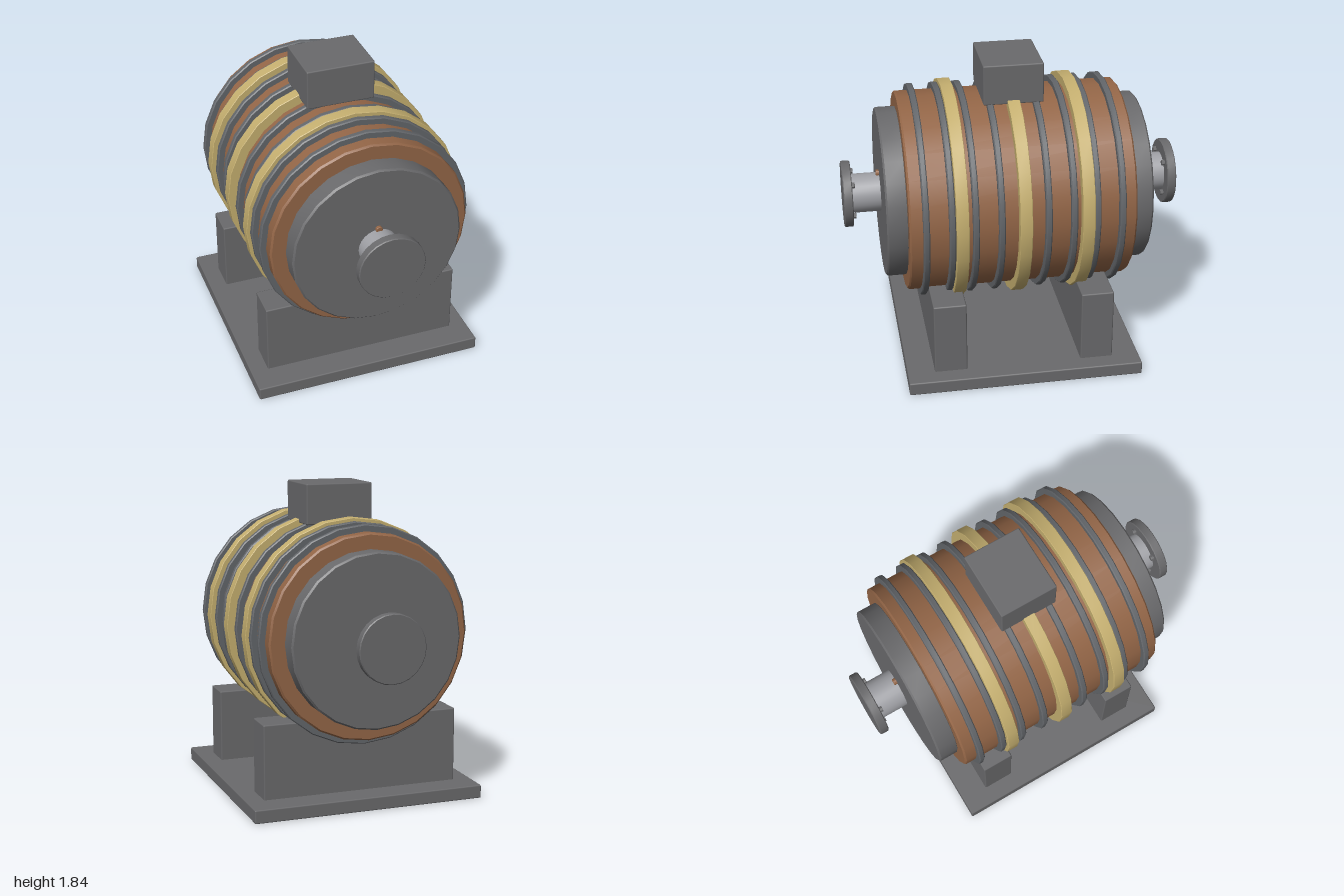
import * as THREE from 'three';
import { toCreasedNormals } from 'three/addons/utils/BufferGeometryUtils.js';
import { RoundedBoxGeometry } from 'three/addons/geometries/RoundedBoxGeometry.js';

const AXIS_Y = 1.005; // height of the drum axis
const SIDES = 24;

function material(name, color) {
  const m = new THREE.MeshStandardMaterial({ color });
  m.name = name;
  return m;
}

// Chamfered solid disc lying along z, between z0 and z1
function drumGeometry(radius, z0, z1, bevel, sides = SIDES) {
  const profile = [
    [0, z0], [radius - bevel, z0], [radius, z0 + bevel],
    [radius, z1 - bevel], [radius - bevel, z1], [0, z1],
  ].map(([r, z]) => new THREE.Vector2(r, z));
  const geometry = new THREE.LatheGeometry(profile, sides);
  geometry.rotateX(Math.PI / 2);
  return toCreasedNormals(geometry, 0.5);
}

export function createModel() {
  const model = new THREE.Group();
  model.name = 'drumMachine';

  const iron = material('iron', 0x6a6a6c);
  const ringIron = material('ringIron', 0x63666a);
  const copper = material('copper', 0x946647);
  const brass = material('brass', 0xc6b070);
  const steel = material('steel', 0xa0a1a6);

  function add(name, geometry, mat, x = 0, y = 0, z = 0, parent = model) {
    const mesh = new THREE.Mesh(geometry, mat);
    mesh.name = name;
    mesh.position.set(x, y, z);
    parent.add(mesh);
    return mesh;
  }
  const block = (w, h, d) => new RoundedBoxGeometry(w, h, d, 1, 0.008);

  // Stand
  add('basePlate', block(1.4, 0.08, 1.4), iron, 0, 0.04, 0);
  for (const s of [1, -1]) {
    add('cradle', block(1.19, 0.45, 0.195), iron, 0, 0.295, s * 0.44);
  }

  // Drum and the box on top of it
  add('drum', drumGeometry(0.598, -0.658, 0.658, 0.01), copper, 0, AXIS_Y, 0);
  add('topBox', block(0.41, 0.24, 0.352), iron, 0, 1.72, 0);

  // Thin iron rings
  for (const z of [0.135, 0.283, 0.418, 0.565]) {
    for (const s of [1, -1]) {
      add('ironRing', drumGeometry(0.637, -0.018, 0.018, 0.006), ringIron, 0, AXIS_Y, s * z);
    }
  }

  // Wide brass bands
  for (const z of [-0.362, 0, 0.362]) {
    add('brassBand', drumGeometry(0.656, -0.036, 0.036, 0.003), brass, 0, AXIS_Y, z);
  }

  // End assemblies, the rear one turned half round
  for (const angle of [0, Math.PI]) {
    const end = new THREE.Group();
    end.name = angle ? 'rearEnd' : 'frontEnd';
    end.position.y = AXIS_Y;
    end.rotation.y = angle;
    model.add(end);

    add('endCap', drumGeometry(0.507, 0.65, 0.778, 0.01), iron, 0, 0, 0, end);
    add('shaft', drumGeometry(0.117, 0.76, 0.99, 0.002), steel, 0, 0, 0, end);
    add('flange', drumGeometry(0.198, 0.946, 1.0, 0.005), iron, 0, 0, 0, end);
    add('copperStud', drumGeometry(0.02, 0.76, 0.797, 0.003, 12), copper, 0, 0.122, 0, end);

    // Bolts behind the flange
    for (const x of [-0.1, 0.1]) {
      for (const y of [-0.1, 0.1]) {
        add('flangeBolt', drumGeometry(0.018, 0.928, 0.96, 0.002, 8), iron, x, y, 0, end);
      }
    }
  }

  return model;
}
